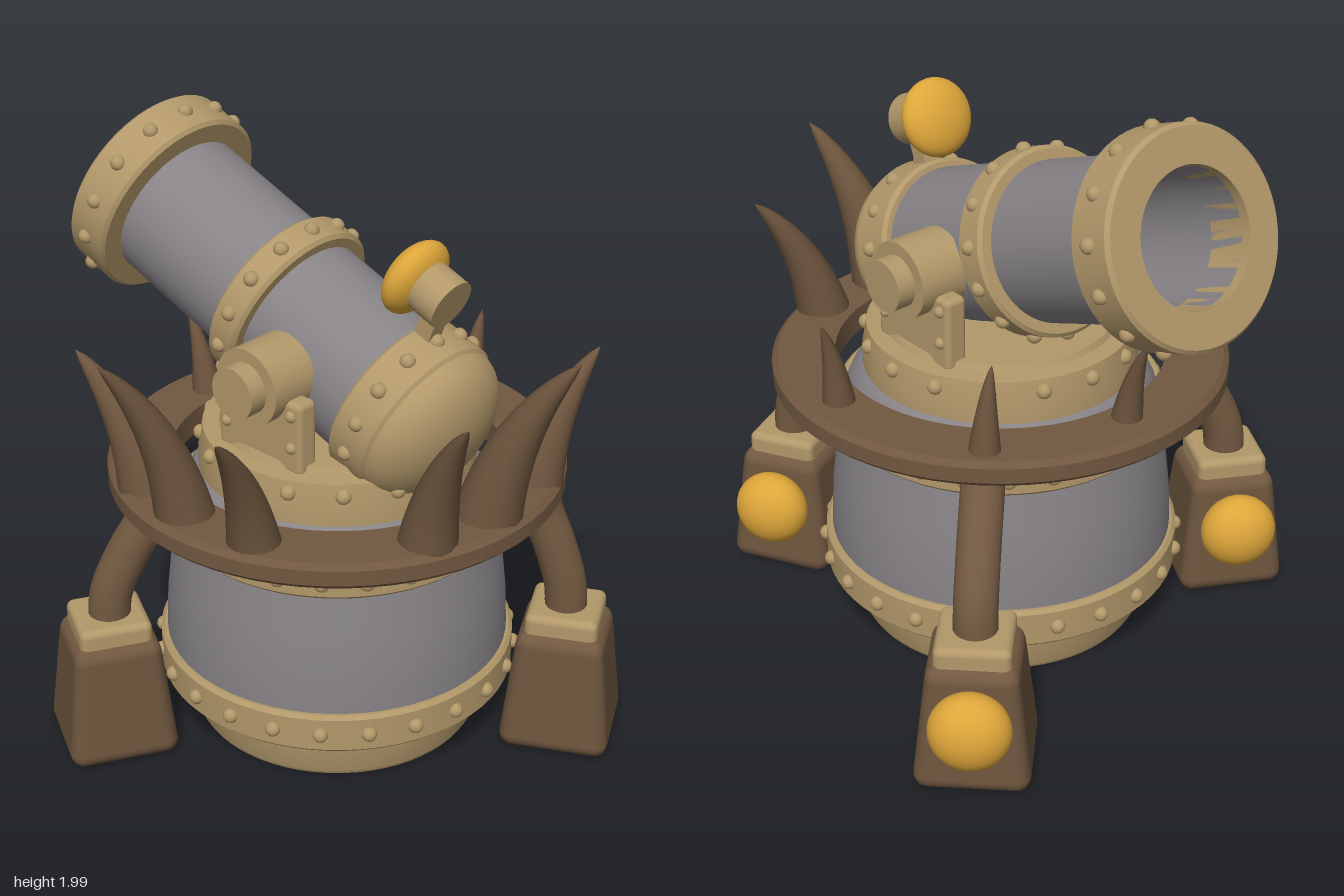
import * as THREE from 'three';
import { toCreasedNormals } from 'three/addons/utils/BufferGeometryUtils.js';
import { RoundedBoxGeometry } from 'three/addons/geometries/RoundedBoxGeometry.js';

const material = (name, color) => {
  const m = new THREE.MeshStandardMaterial({ color });
  m.name = name;
  return m;
};

export function createModel() {
  const tan = material('tan metal', 0xb2986a);
  const grey = material('grey iron', 0x878387);
  const brown = material('brown hide', 0x715840);
  const gold = material('gold', 0xdea63a);

  const model = new THREE.Group();
  model.name = 'turretCannon';

  const add = (parent, name, geometry, mat, x = 0, y = 0, z = 0) => {
    const mesh = new THREE.Mesh(geometry, mat);
    mesh.name = name;
    mesh.position.set(x, y, z);
    parent.add(mesh);
    return mesh;
  };
  const group = (parent, name, x, y, z) => {
    const g = new THREE.Group();
    g.name = name;
    g.position.set(x, y, z);
    parent.add(g);
    return g;
  };
  // Turned part from [radius, height] pairs, hard corners kept sharp
  const turned = (points, segments = 64) => toCreasedNormals(
    new THREE.LatheGeometry(points.map(([r, y]) => new THREE.Vector2(r, y)), segments), 0.6);
  // Closed band with small bevels
  const band = (inner, outer, y0, y1, b = 0.012) => turned([
    [inner, y0], [outer - b, y0], [outer, y0 + b], [outer, y1 - b], [outer - b, y1], [inner, y1], [inner, y0]]);
  const rivetGeometry = new THREE.SphereGeometry(0.027, 12, 8);
  const rivets = (parent, count, radius, y, offset = 0) => {
    for (let i = 0; i < count; i++) {
      const a = (i + offset) / count * Math.PI * 2;
      add(parent, 'rivet', rivetGeometry, tan, radius * Math.sin(a), y, radius * Math.cos(a))
        .scale.setScalar(0.95);
    }
  };

  // Drum-shaped base
  const base = group(model, 'base', -0.013, 0, 0.053);
  add(base, 'plinth', turned([[0, 0], [0.475, 0], [0.487, 0.02], [0.487, 0.2], [0, 0.2]]), tan);
  add(base, 'drum', turned([[0, 0.2], [0.575, 0.2], [0.578, 0.31], [0.572, 0.45], [0.555, 0.6],
    [0.528, 0.74], [0.517, 0.83], [0.495, 0.88], [0.46, 0.93], [0.42, 0.955], [0, 0.97]]), grey);
  add(base, 'lowerBand', band(0.45, 0.6, 0.175, 0.313), tan);
  add(base, 'upperBand', band(0.49, 0.545, 0.72, 0.832), tan);
  rivets(base, 24, 0.6, 0.245, 0.5);
  rivets(base, 24, 0.543, 0.777, 0.5);

  // Turntable
  add(base, 'turntable', turned([[0, 0.93], [0.455, 0.93], [0.455, 0.99], [0.44, 1.075],
    [0.385, 1.08], [0.375, 1.1], [0, 1.1]]), tan);
  rivets(base, 16, 0.445, 1.035);

  // Collar ring
  add(base, 'collarRing', band(0.545, 0.752, 0.885, 0.972, 0.018), brown);

  // Curved horns: base x, z, tip x, y, z, base radius
  const horn = ([bx, bz, tx, ty, tz, radius]) => {
    const y0 = 0.93;
    const curve = new THREE.QuadraticBezierCurve3(
      new THREE.Vector3(bx, y0, bz),
      new THREE.Vector3(bx + (tx - bx) * 0.2, y0 + (ty - y0) * 0.6, bz + (tz - bz) * 0.2),
      new THREE.Vector3(tx, ty, tz));
    const steps = 16, sides = 16;
    const g = new THREE.TubeGeometry(curve, steps, radius, sides);
    const pos = g.attributes.position, v = new THREE.Vector3();
    for (let i = 0; i <= steps; i++) {
      const t = i / steps, c = curve.getPointAt(t), f = Math.pow(1 - t, 0.7);
      for (let j = 0; j <= sides; j++) {
        const k = i * (sides + 1) + j;
        v.fromBufferAttribute(pos, k).sub(c).multiplyScalar(f).add(c);
        pos.setXYZ(k, v.x, v.y, v.z);
      }
    }
    add(model, 'horn', g, brown);
  };
  [
    [-0.6, -0.22, -0.67, 1.39, -0.46, 0.1],
    [-0.64, -0.01, -0.885, 1.525, -0.105, 0.1],
    [-0.62, 0.27, -0.82, 1.39, 0.315, 0.09],
    [-0.26, 0.65, -0.3, 1.42, 0.83, 0.1],
    [-0.01, 0.68, 0.11, 1.515, 0.92, 0.115],
    [0.27, 0.65, 0.475, 1.385, 0.73, 0.095],
    [0.61, 0.1, 0.665, 1.25, 0.105, 0.058],
    [0.455, -0.425, 0.42, 1.25, -0.42, 0.055],
    [-0.01, -0.555, -0.01, 1.25, -0.64, 0.055],
  ].forEach(horn);

  // Legs: foot x, z, hip x, z, foot yaw, knob direction x, z
  const footGeometry = new RoundedBoxGeometry(0.375, 0.43, 0.375, 4, 0.05);
  const fp = footGeometry.attributes.position;
  for (let i = 0; i < fp.count; i++) {
    const s = 1 - 0.25 * (fp.getY(i) / 0.43 + 0.5);
    fp.setX(i, fp.getX(i) * s);
    fp.setZ(i, fp.getZ(i) * s);
  }
  const cuffGeometry = new RoundedBoxGeometry(0.24, 0.1, 0.24, 4, 0.025);
  const knobGeometry = new THREE.SphereGeometry(0.13, 32, 20);
  [
    [0.355, 0.745, 0.3, 0.65, 0.49, 0.88, -0.47],
    [0.64, -0.6, 0.43, -0.39, 2.356, 0.707, -0.707],
    [-0.705, -0.33, -0.56, -0.24, 4.206, 0.48, -0.877],
  ].forEach(([x, z, hx, hz, yaw, kx, kz]) => {
    const leg = group(model, 'leg', x, 0, z);
    const dx = hx - x, dz = hz - z;
    const path = new THREE.CatmullRomCurve3([
      new THREE.Vector3(0, 0.44, 0),
      new THREE.Vector3(dx * 0.08, 0.57, dz * 0.08),
      new THREE.Vector3(dx * 0.48, 0.72, dz * 0.48),
      new THREE.Vector3(dx * 0.9, 0.84, dz * 0.9),
      new THREE.Vector3(dx, 0.94, dz)]);
    add(leg, 'shin', new THREE.TubeGeometry(path, 24, 0.07, 18), brown);
    add(leg, 'foot', footGeometry, brown, 0, 0.215, 0).rotation.y = yaw;
    add(leg, 'cuff', cuffGeometry, tan, 0, 0.442, 0).rotation.y = yaw;
    const knob = add(leg, 'footKnob', knobGeometry, gold, kx * 0.2, 0.26, kz * 0.2);
    knob.rotation.y = Math.atan2(kx, kz);
    knob.scale.z = 0.75;
  });

  // Cannon: local y runs to the muzzle, local z is its upper side
  const cannon = group(model, 'cannon', -0.013, 1.342, 0.053);
  cannon.rotation.x = -1.2;
  add(cannon, 'barrel', turned([[0, -0.4], [0.255, -0.4], [0.255, 0.9], [0.212, 0.9],
    [0.212, 0.2], [0, 0.2]]), grey);
  add(cannon, 'muzzleRing', band(0.212, 0.335, 0.768, 0.936), tan);
  add(cannon, 'middleBand', band(0.24, 0.3, 0.177, 0.292), tan);
  add(cannon, 'breechBand', band(0.24, 0.285, -0.41, -0.25), tan);
  const dome = add(cannon, 'breechDome',
    new THREE.SphereGeometry(0.275, 48, 16, 0, Math.PI * 2, Math.PI / 2, Math.PI / 2), tan, 0, -0.405, 0);
  dome.scale.y = 0.6;
  rivets(cannon, 14, 0.332, 0.852);
  rivets(cannon, 14, 0.297, 0.235);
  rivets(cannon, 14, 0.282, -0.33);

  // Sight on the breech
  add(cannon, 'sightStem', new THREE.BoxGeometry(0.06, 0.06, 0.16), tan, 0, -0.29, 0.32);
  add(cannon, 'sightCup', new THREE.CylinderGeometry(0.085, 0.085, 0.13, 32), tan, 0, -0.265, 0.43);
  add(cannon, 'sightKnob', knobGeometry, gold, 0, -0.178, 0.425).scale.y = 0.52;

  // Trunnions and their brackets
  for (const side of [-1, 1]) {
    const mount = group(model, 'mount', -0.013, 0, 0.053);
    add(mount, 'bracket', new RoundedBoxGeometry(0.08, 0.25, 0.356, 3, 0.02), tan, side * 0.325, 1.19, 0);
    const disc = (name, r, x0, x1) => {
      add(mount, name, new THREE.CylinderGeometry(r, r, x1 - x0, 40), tan, side * (x0 + x1) / 2, 1.342, 0)
        .rotation.z = Math.PI / 2;
    };
    disc('trunnion', 0.127, 0.24, 0.415);
    disc('trunnionCap', 0.085, 0.41, 0.478);
    for (const z of [-0.14, 0.14]) for (const y of [1.16, 1.27]) {
      add(mount, 'bracketRivet', rivetGeometry, tan, side * 0.362, y, z).scale.setScalar(0.75);
    }
  }
  return model;
}
